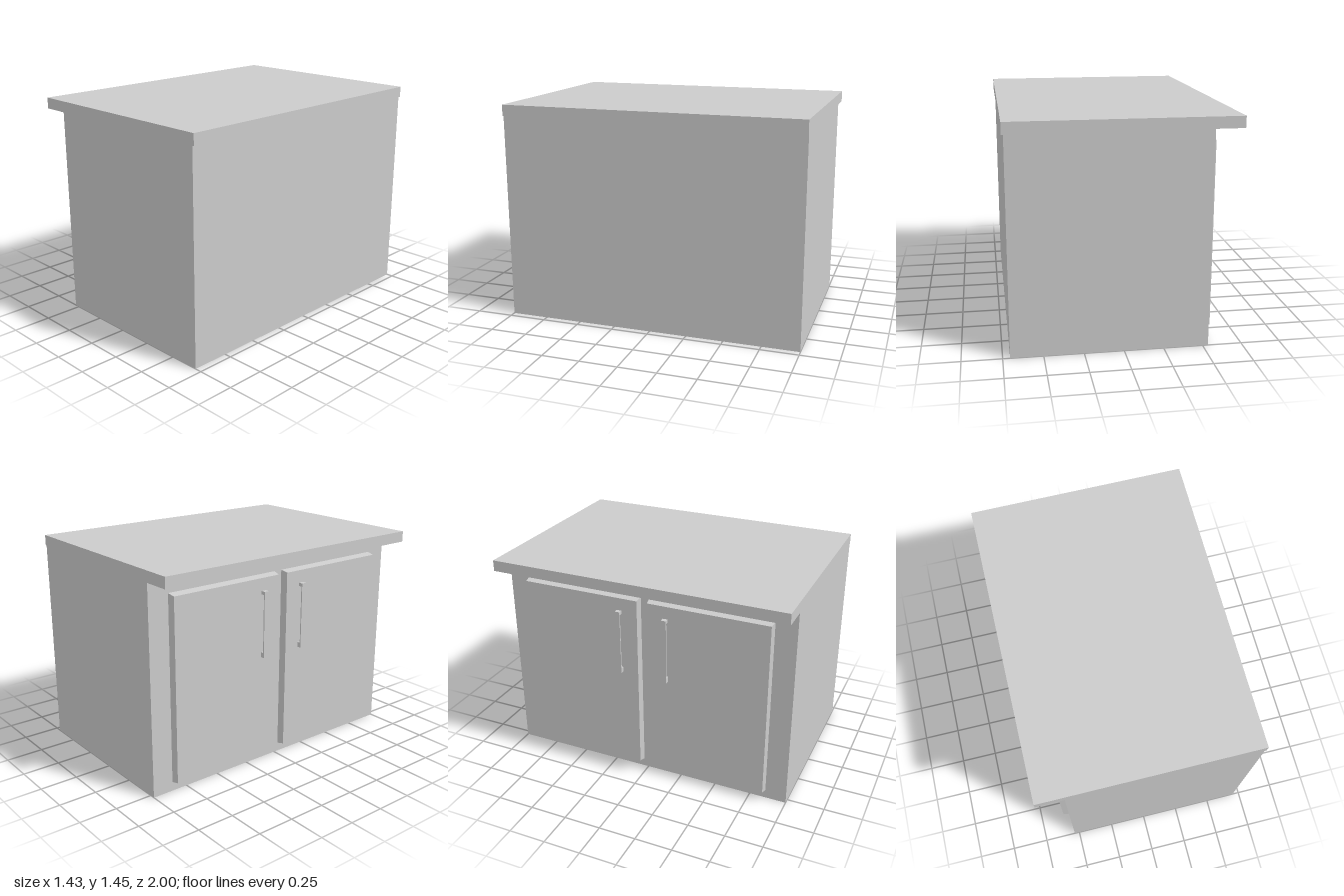
import * as THREE from 'three';

const material = new THREE.MeshStandardMaterial({ color: 0xcccccc });

// Box given by its minimum and maximum corners
function block(name, [x0, y0, z0], [x1, y1, z1]) {
  const geometry = new THREE.BoxGeometry(x1 - x0, y1 - y0, z1 - z0);
  geometry.translate((x0 + x1) / 2, (y0 + y1) / 2, (z0 + z1) / 2);
  const mesh = new THREE.Mesh(geometry, material);
  mesh.name = name;
  return mesh;
}

// Door panel whose outer face (-x) is slightly smaller than its back
function doorPanel(z0, z1) {
  const door = block('doorPanel', [-0.585, 0.06, z0], [-0.535, 1.295, z1]);
  const p = door.geometry.attributes.position;
  const inset = 0.011, midY = 0.68, midZ = (z0 + z1) / 2;
  for (let i = 0; i < p.count; i++) {
    if (p.getX(i) > -0.56) continue;
    p.setY(i, p.getY(i) - Math.sign(p.getY(i) - midY) * inset);
    p.setZ(i, p.getZ(i) - Math.sign(p.getZ(i) - midZ) * inset * 0.6);
  }
  door.geometry.computeVertexNormals();
  return door;
}

// Upright bar held by two short posts
function handle(zMid) {
  const group = new THREE.Group();
  group.name = 'handle';
  const a = zMid - 0.017, b = zMid + 0.017;
  group.add(
    block('handleBar', [-0.615, 0.757, a], [-0.607, 1.2, b]),
    block('handlePostTop', [-0.607, 1.178, a], [-0.585, 1.2, b]),
    block('handlePostBottom', [-0.607, 0.757, a], [-0.585, 0.791, b])
  );
  return group;
}

export function createModel() {
  const model = new THREE.Group();
  model.name = 'cabinet';

  // Carcass and overhanging worktop
  model.add(block('cabinetBody', [-0.535, 0, -1], [0.705, 1.38, 1]));
  model.add(block('worktop', [-0.717, 1.38, -1], [0.717, 1.453, 1]));

  // Mirrored pair of doors with handles near the middle
  for (const side of [-1, 1]) {
    const door = new THREE.Group();
    door.name = side < 0 ? 'backDoor' : 'frontDoor';
    const [z0, z1] = side < 0 ? [-0.858, -0.03] : [0.03, 0.858];
    door.add(doorPanel(z0, z1), handle(side * 0.162));
    model.add(door);
  }
  return model;
}
